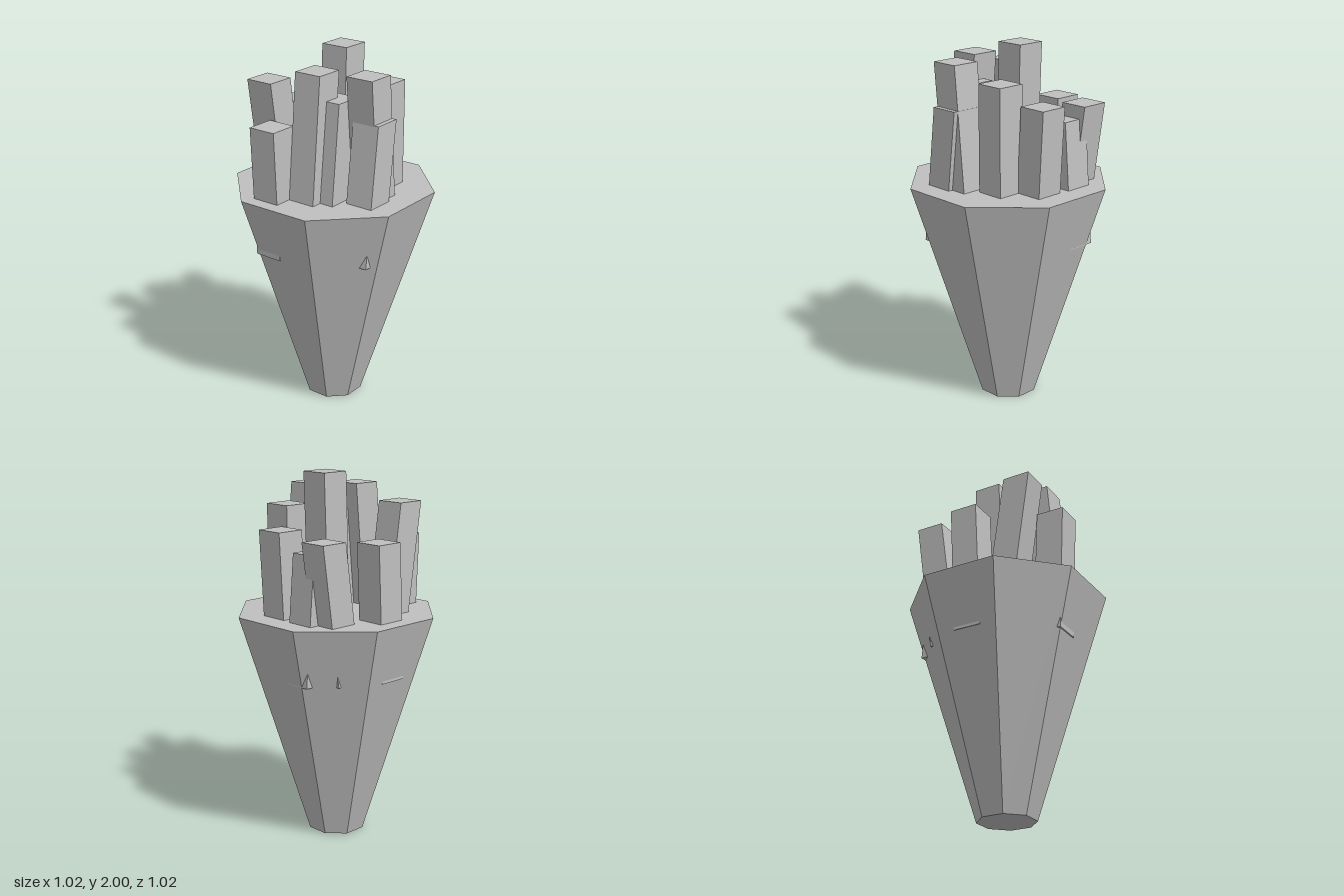
import * as THREE from 'three';

const CONE_TOP = 1.25; // height of the cone's closed top
const FRY_BASE = 0.93; // fries start inside the cone
const FRY_WIDTH = 0.157;

// x, z: centre of the fry's top; top: its height; lean: sideways shift at the cone's top
const FRIES = [
  { x: 0.033, z: -0.343, top: 1.66, lean: -0.02 },
  { x: -0.238, z: -0.238, top: 1.84, lean: 0.085 },
  { x: 0.32, z: -0.238, top: 1.68, lean: -0.062 },
  { x: 0.328, z: 0.078, top: 1.71, lean: -0.024 },
  { x: 0.283, z: -0.133, top: 1.61, lean: 0.03 },
  { x: 0.086, z: -0.002, top: 2.0, lean: -0.026 },
  { x: 0.157, z: 0.209, top: 1.82, lean: 0 },
  { x: -0.375, z: -0.108, top: 1.64, lean: 0.016 },
  { x: -0.2, z: 0.05, top: 1.92, lean: -0.062 },
  { x: -0.147, z: 0.129, top: 1.78, lean: -0.056 },
  { x: -0.09, z: 0.288, top: 1.91, lean: 0.06 },
  { x: -0.068, z: 0.314, top: 1.68, lean: -0.053 },
];

// Square stick sheared sideways, so its ends stay level
function fryGeometry({ x, z, top, lean }) {
  const height = top - FRY_BASE;
  const geometry = new THREE.BoxGeometry(FRY_WIDTH, height, FRY_WIDTH);
  geometry.translate(x, FRY_BASE + height / 2, z);
  const slope = lean / (top - CONE_TOP);
  const pos = geometry.attributes.position;
  for (let i = 0; i < pos.count; i++) {
    pos.setX(i, pos.getX(i) + slope * (top - pos.getY(i)));
  }
  geometry.computeVertexNormals();
  return geometry;
}

export function createModel() {
  const group = new THREE.Group();
  group.name = 'fryCone';
  const grey = new THREE.MeshStandardMaterial({ color: 0xc0c0c0, flatShading: true });
  grey.name = 'plain grey';

  // Eight-sided tapered holder with a flat side to the front
  const toCorner = 1 / Math.cos(Math.PI / 8);
  const cone = new THREE.Mesh(
    new THREE.CylinderGeometry(0.51 * toCorner, 0.147 * toCorner, CONE_TOP, 8, 1, false, Math.PI / 8),
    grey
  );
  cone.position.y = CONE_TOP / 2;
  cone.name = 'cone';
  group.add(cone);

  // Leaning fries
  const fries = new THREE.Group();
  fries.name = 'fries';
  FRIES.forEach((spec, i) => {
    const fry = new THREE.Mesh(fryGeometry(spec), grey);
    fry.name = `fry${i + 1}`;
    fries.add(fry);
  });
  group.add(fries);

  return group;
}
